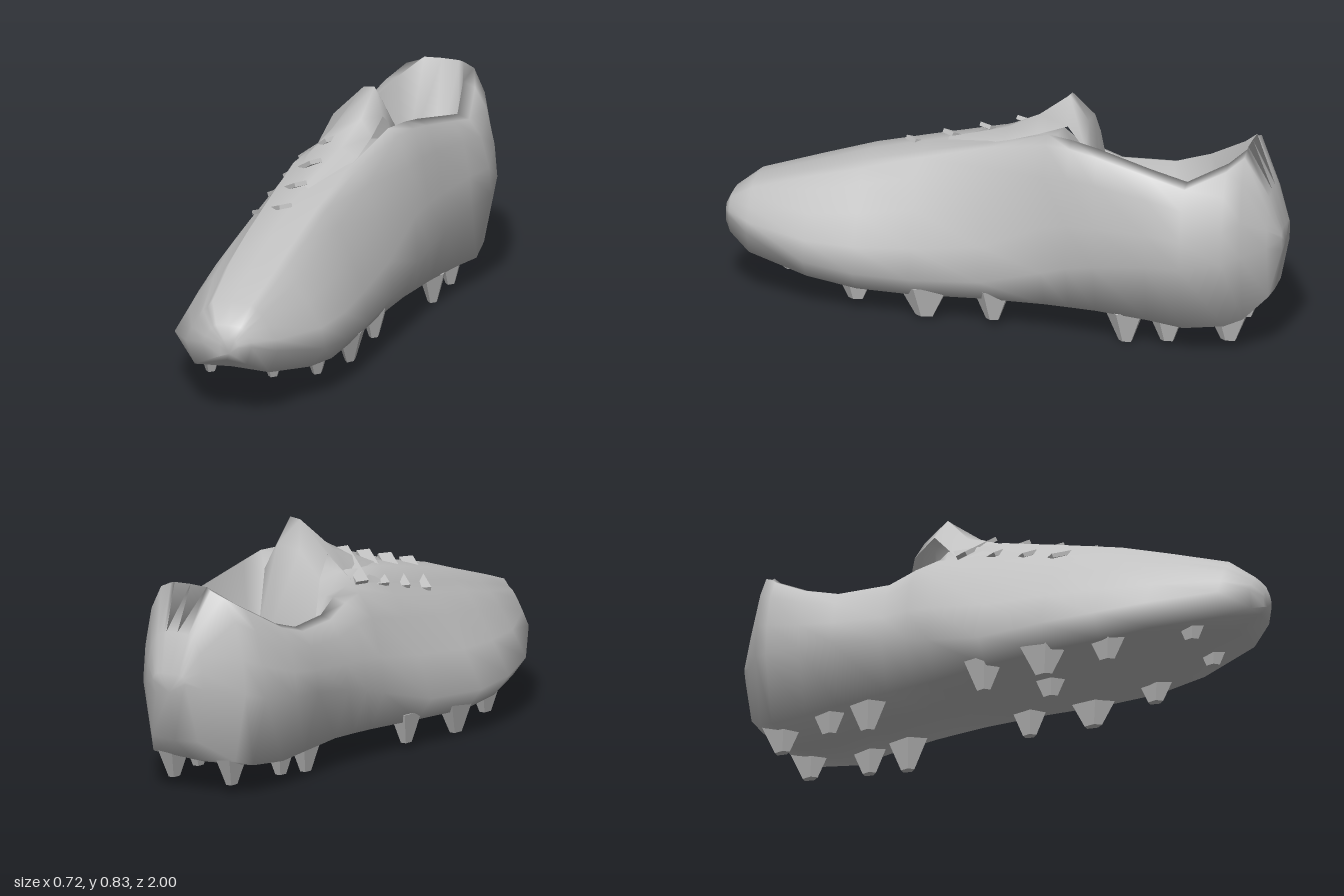
import * as THREE from 'three';

const lerp = THREE.MathUtils.lerp;

// Skins a list of equal-length cross-sections (arrays of [x, y, z]) with smooth normals
function loft(sections, closed) {
  const n = sections[0].length, index = [];
  const geo = new THREE.BufferGeometry();
  geo.setAttribute('position', new THREE.Float32BufferAttribute(sections.flat(2), 3));
  for (let i = 0; i < sections.length - 1; i++) {
    for (let j = 0; j < (closed ? n : n - 1); j++) {
      const k = (j + 1) % n, a = i * n + j, b = i * n + k;
      index.push(a, b, b + n, a, b + n, a + n);
    }
  }
  if (closed) {
    const e = (sections.length - 1) * n;
    for (let j = 1; j < n - 1; j++) index.push(0, j + 1, j, e, e + j, e + j + 1);
  }
  geo.setIndex(index);
  geo.computeVertexNormals();
  return geo;
}

// z, left x, right x, sole y, widest y, left rim x y, right rim x y, middle y (insole where open)
const forefoot = [
  [1.0, -0.03, 0.04, 0.23, 0.27, -0.02, 0.29, 0.03, 0.29, 0.30],
  [0.98, -0.10, 0.08, 0.20, 0.27, -0.06, 0.33, 0.05, 0.33, 0.34],
  [0.9, -0.19, 0.15, 0.15, 0.24, -0.11, 0.37, 0.07, 0.38, 0.40],
  [0.68, -0.31, 0.24, 0.11, 0.19, -0.13, 0.43, 0.09, 0.45, 0.47],
  [0.5, -0.35, 0.26, 0.085, 0.17, -0.13, 0.48, 0.10, 0.50, 0.53],
  [0.3, -0.36, 0.26, 0.08, 0.165, -0.13, 0.52, 0.11, 0.56, 0.58],
  [0.05, -0.31, 0.26, 0.09, 0.18, -0.13, 0.57, 0.13, 0.63, 0.64],
];
const rear = [
  [-0.17, -0.25, 0.27, 0.09, 0.24, -0.10, 0.60, 0.16, 0.71, 0.66],
  [-0.26, -0.235, 0.285, 0.09, 0.27, -0.10, 0.58, 0.19, 0.71, 0.58],
  [-0.36, -0.22, 0.30, 0.09, 0.29, -0.11, 0.54, 0.20, 0.69, 0.20],
  [-0.55, -0.215, 0.33, 0.08, 0.32, -0.12, 0.54, 0.23, 0.645, 0.17],
  [-0.68, -0.205, 0.355, 0.07, 0.33, -0.12, 0.58, 0.23, 0.61, 0.17],
  [-0.82, -0.165, 0.325, 0.08, 0.35, -0.04, 0.67, 0.20, 0.68, 0.25],
  [-0.88, -0.12, 0.29, 0.10, 0.37, 0.02, 0.72, 0.18, 0.73, 0.735],
  [-0.96, 0.0, 0.23, 0.18, 0.39, 0.05, 0.56, 0.16, 0.57, 0.58],
  [-1.0, 0.05, 0.18, 0.36, 0.41, 0.07, 0.44, 0.15, 0.44, 0.44],
];

// Wall shapes from the widest point (0, 0) to the rim (1, 1)
const leftSlope = [[0.3, 0.38], [0.58, 0.7], [0.8, 0.9]];
const rightSlope = [[0.1, 0.28], [0.42, 0.6], [0.74, 0.86]];
const bulge = [[0.08, 0.35], [0.3, 0.72], [0.65, 0.95]];

function shoeSection([z, xl, xr, yb, yw, lx, ly, rx, ry, ym], leftWall, rightWall) {
  const mid = (xl + xr) / 2, top = (lx + rx) / 2;
  // One side, from the sole edge up over the rim
  const side = (x, rimX, rimY, wall) => [
    [lerp(x, mid, 0.2), lerp(yb, yw, 0.1), z],
    [x, yw, z],
    ...wall.map(([u, v]) => [lerp(x, rimX, u), lerp(yw, rimY, v), z]),
    [rimX, rimY, z],
    [lerp(rimX, top, 0.2), lerp(rimY, ym, 0.8), z],
  ];
  return [
    [mid, yb + 0.015, z],
    ...side(xl, lx, ly, leftWall),
    [top, ym, z],
    ...side(xr, rx, ry, rightWall).reverse(),
  ];
}

export function createModel() {
  const shoe = new THREE.Group();
  shoe.name = 'footballBoot';
  const grey = new THREE.MeshStandardMaterial({ color: 0xc0c0c0, side: THREE.DoubleSide });
  grey.name = 'grey';
  const add = (name, geo, parent = shoe) => {
    const mesh = new THREE.Mesh(geo, grey);
    mesh.name = name;
    parent.add(mesh);
    return mesh;
  };

  // Upper, sole, collar and lining in one skin
  add('upper', loft([
    ...forefoot.map((s) => shoeSection(s, leftSlope, rightSlope)),
    ...rear.map((s) => shoeSection(s, bulge, bulge)),
  ], true));

  // Tongue rising from the instep and folding down into the opening
  const tongue = [
    [0.22, [-0.13, 0.52], [-0.07, 0.58], [0.0, 0.605], [0.05, 0.58]],
    [0.0, [-0.13, 0.58], [-0.06, 0.655], [0.05, 0.68], [0.11, 0.65]],
    [-0.12, [-0.10, 0.60], [-0.02, 0.71], [0.08, 0.75], [0.12, 0.69]],
    [-0.23, [-0.06, 0.72], [0.05, 0.83], [0.09, 0.835], [0.12, 0.73]],
    [-0.3, [-0.07, 0.65], [0.01, 0.74], [0.10, 0.75], [0.15, 0.66]],
    [-0.34, [-0.07, 0.45], [0.01, 0.47], [0.10, 0.47], [0.15, 0.45]],
  ];
  add('tongue', loft(tongue.map(([z, ...p]) => p.map(([x, y]) => [x, y, z])), false));

  // Flat laces slanting across the inner side of the instep
  const laces = new THREE.Group();
  laces.name = 'laces';
  shoe.add(laces);
  for (let i = 0; i < 4; i++) {
    const t = i / 3;
    const from = new THREE.Vector3(lerp(-0.16, -0.12, t), lerp(0.505, 0.60, t), lerp(0.25, -0.10, t));
    const to = new THREE.Vector3(lerp(-0.02, 0.0, t), lerp(0.575, 0.695, t), lerp(0.36, -0.04, t));
    const lace = add('lace', new THREE.BoxGeometry(0.05, 0.015, from.distanceTo(to)), laces);
    lace.position.copy(from).lerp(to, 0.5);
    lace.lookAt(to);
  }

  // Tapered bladed studs: x, z, tip height, length
  const studs = new THREE.Group();
  studs.name = 'studs';
  shoe.add(studs);
  for (const [x, z, tip, length] of [
    [-0.14, 0.78, 0.10, 0.15], [0.08, 0.76, 0.10, 0.15], [-0.25, 0.51, 0.03, 0.17],
    [0.15, 0.51, 0.04, 0.17], [-0.27, 0.28, 0.01, 0.19], [0.18, 0.26, 0.01, 0.2],
    [-0.04, 0.2, 0.04, 0.16], [-0.22, 0.03, 0.02, 0.15], [0.18, 0.02, 0.02, 0.15],
    [-0.11, -0.46, 0.01, 0.15], [0.22, -0.46, 0.0, 0.15], [-0.1, -0.61, 0.03, 0.15],
    [0.23, -0.61, 0.02, 0.15], [-0.03, -0.82, 0.03, 0.17], [0.2, -0.82, 0.03, 0.17],
  ]) {
    const height = 0.11;
    const geo = new THREE.CylinderGeometry(0.5, 0.17, 1, 5).toNonIndexed();
    geo.scale(0.1, height, length);
    geo.computeVertexNormals();
    add('stud', geo, studs).position.set(x, tip + height / 2, z);
  }
  return shoe;
}
